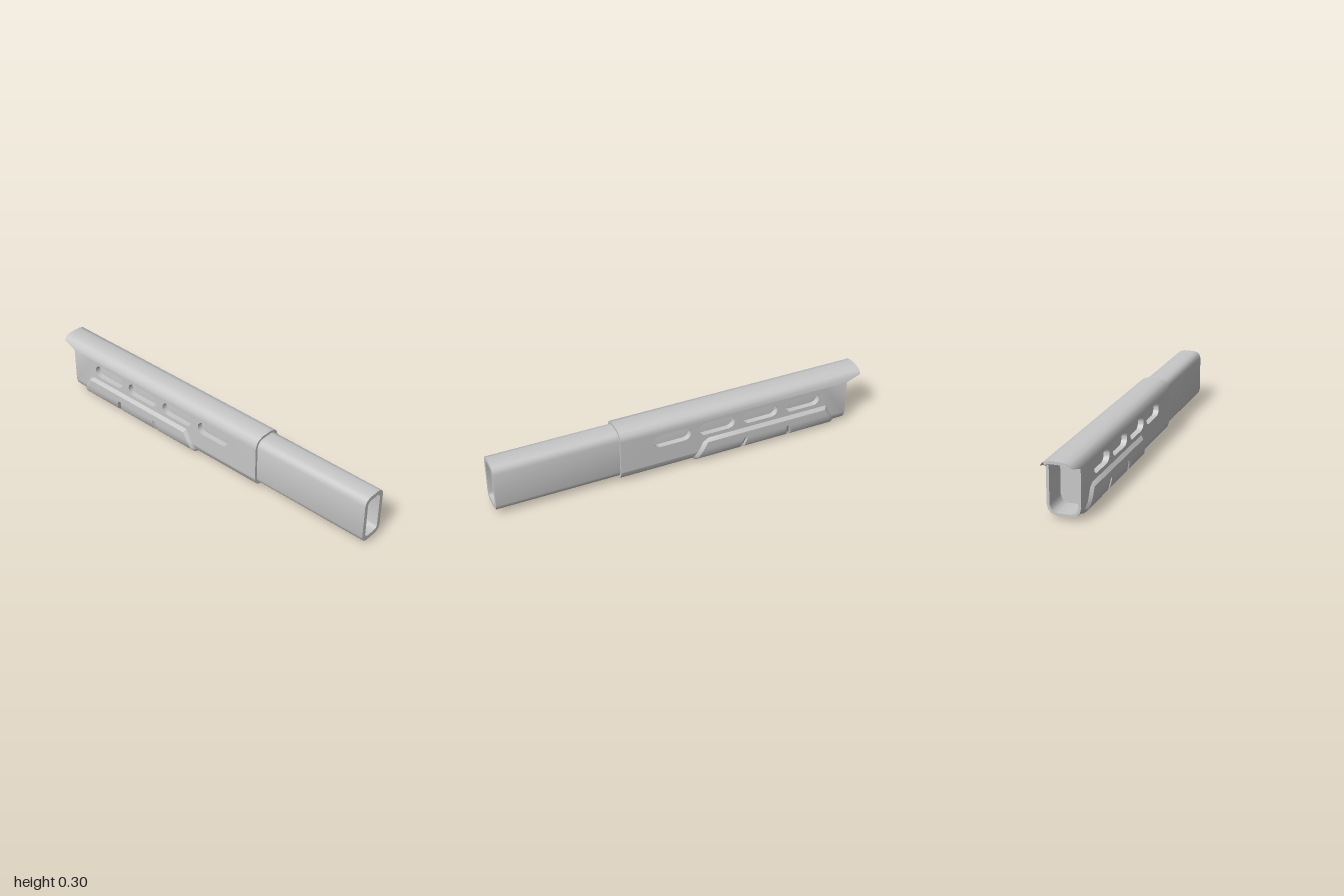
import * as THREE from 'three';
import { mergeGeometries, toCreasedNormals } from 'three/addons/utils/BufferGeometryUtils.js';

// Chamfered corner, from the side wall to the top or bottom: [inset, distance from end]
const CORNER = [[0, 0.052], [0.007, 0.027], [0.022, 0.009], [0.052, 0]];

// Upper half of a section, from +x round to -x
function arch(hw, y1, c) {
  const half = CORNER.map(([a, b]) => new THREE.Vector2(hw - a * c, y1 - b * c));
  return [...half, ...half.map(p => new THREE.Vector2(-p.x, p.y)).reverse()];
}

// Full closed section
function section(hw, y0, y1, c) {
  const flip = arch(hw, -y0, c).map(p => new THREE.Vector2(-p.x, -p.y));
  return [...arch(hw, y1, c), ...flip];
}

// Sweep a section along x between two positions
function sweep(shape, x0, x1) {
  const g = new THREE.ExtrudeGeometry(shape, { depth: x1 - x0, bevelEnabled: false });
  g.rotateY(Math.PI / 2);
  g.translate(x0, 0, 0);
  return g;
}

const HW = 0.082, Y0 = 0.014, Y1 = 0.302, WALL = 0.014;
const FRONT = -0.915, REAR = 0.36, INNER = -0.78;

// Flat panel between two x positions, the height of the straight side
const panel = (x0, x1) => new THREE.Shape([[x0, 0.066], [x1, 0.066], [x1, 0.25], [x0, 0.25]]
  .map(([x, y]) => new THREE.Vector2(x, y)));

function shellGeometry() {
  const parts = [];
  // Roof, with its front end cut back at a slant to leave a lip
  const roofShape = new THREE.Shape([
    ...arch(HW, Y1, 1), ...arch(HW - WALL, Y1 - WALL, 0.731).reverse()]);
  const roof = sweep(roofShape, -1, REAR);
  const p = roof.attributes.position;
  for (let i = 0; i < p.count; i++) {
    if (p.getX(i) < -0.9) {
      p.setX(i, -1 + Math.max(0, (0.276 - p.getY(i)) / 0.026) * 0.085);
    }
  }
  parts.push(roof);

  // Rounded floor
  const floorShape = new THREE.Shape([
    ...arch(HW, -Y0, 1), ...arch(HW - WALL, -Y0 - WALL, 0.731).reverse()]
    .map(v => new THREE.Vector2(-v.x, -v.y)));
  parts.push(sweep(floorShape, FRONT, REAR));

  // Side walls: thin at the open front, thicker where the four slots are
  const slotted = panel(INNER, REAR);
  const r = 0.035, cy = 0.197;
  for (let i = 0; i < 4; i++) {
    const x0 = -0.753 + i * 0.245, x1 = x0 + 0.2;
    const slot = new THREE.Path();
    slot.absarc(x1 - r, cy, r, -Math.PI / 2, Math.PI / 2, false);
    slot.absarc(x0 + r, cy, r, Math.PI / 2, Math.PI * 1.5, false);
    slotted.holes.push(slot);
  }
  for (const [shape, depth] of [[panel(FRONT, INNER), WALL], [slotted, 0.03]]) {
    for (const z of [HW - depth, -HW]) {
      const g = new THREE.ExtrudeGeometry(shape, { depth, bevelEnabled: false, curveSegments: 8 });
      g.translate(0, 0, z);
      parts.push(g);
    }
  }
  return toCreasedNormals(mergeGeometries(parts), 0.7);
}

// Raised cover wrapped round the lower part of the shell, with two cross grooves
function coverGeometry() {
  // [outer z, outer y, shell z, shell y]
  const half = [
    [0.082, 0.14, 0.082, 0.14], [0.096, 0.122, 0.082, 0.122], [0.096, 0.085, 0.082, 0.085],
    [0.095, 0.07, 0.082, 0.07], [0.088, 0.036, 0.075, 0.041], [0.078, 0.022, 0.0675, 0.032],
    [0.062, 0.009, 0.06, 0.023], [0.034, 0.001, 0.03, 0.014]];
  const rows = [...half, ...half.map(([a, b, c, d]) => [-a, b, -c, d]).reverse()];
  const pos = [], index = [];
  const columnsAt = y => {
    const s = 0.062 * Math.min(1, (0.14 - y) / 0.115);
    const cols = [[-0.795 - s, 0], [-0.775 - s, 1]];
    for (const [gx, lean] of [[-0.58, 0.012], [-0.311, -0.012]]) {
      const x = gx + lean * Math.min(1, y / 0.08) ** 2, d = y < 0.08 ? 0.1 : 1;
      cols.push([x - 0.011, 1], [x - 0.007, d], [x + 0.007, d], [x + 0.011, 1]);
    }
    cols.push([-0.118 + s, 1], [-0.098 + s, 0]);
    return cols;
  };
  const n = 12;
  rows.forEach(([oz, oy, sz, sy], j) => {
    columnsAt(oy).forEach(([x, k], i) => {
      pos.push(x, sy + (oy - sy) * k, sz + (oz - sz) * k);
      if (j < rows.length - 1 && i < n - 1) {
        const a = j * n + i, b = a + n;
        index.push(a, b, a + 1, b, b + 1, a + 1);
      }
    });
  });
  const g = new THREE.BufferGeometry();
  g.setAttribute('position', new THREE.Float32BufferAttribute(pos, 3));
  g.setIndex(index);
  return toCreasedNormals(g.toNonIndexed(), 0.5);
}

// Hollow tube with the shared rectangular bore
function boredTube(hw, c, x0, x1) {
  const shape = new THREE.Shape(section(hw, 0.028, 0.288, c));
  shape.holes.push(new THREE.Path(section(0.046, 0.051, 0.265, 0.4)));
  return toCreasedNormals(sweep(shape, x0, x1), 0.7);
}

export function createModel() {
  const grey = new THREE.MeshStandardMaterial({ color: 0xc8c8c8 });
  grey.name = 'plain grey';
  const model = new THREE.Group();
  model.name = 'slottedHandguard';
  const add = (name, geometry) => {
    const m = new THREE.Mesh(geometry, grey);
    m.name = name;
    model.add(m);
  };

  add('outerShell', shellGeometry());
  add('lowerCover', coverGeometry());
  add('rearTube', boredTube(0.068, 0.731, 0.3, 1));
  // Narrower liner behind the slots, closed at its front end
  add('innerLiner', boredTube(0.053, 0.5, INNER, 0.3));
  add('linerEndWall', sweep(new THREE.Shape(section(0.068, 0.028, 0.288, 0.731)), -0.785, -0.77));

  // Gently sloping ceiling inside the tube
  const wedge = new THREE.Shape([[0.95, 0.266], [-0.77, 0.266], [-0.77, 0.256]]
    .map(([x, y]) => new THREE.Vector2(x, y)));
  const ceiling = new THREE.ExtrudeGeometry(wedge, { depth: 0.076, bevelEnabled: false });
  ceiling.translate(0, 0, -0.038);
  add('tubeCeiling', ceiling);
  return model;
}
